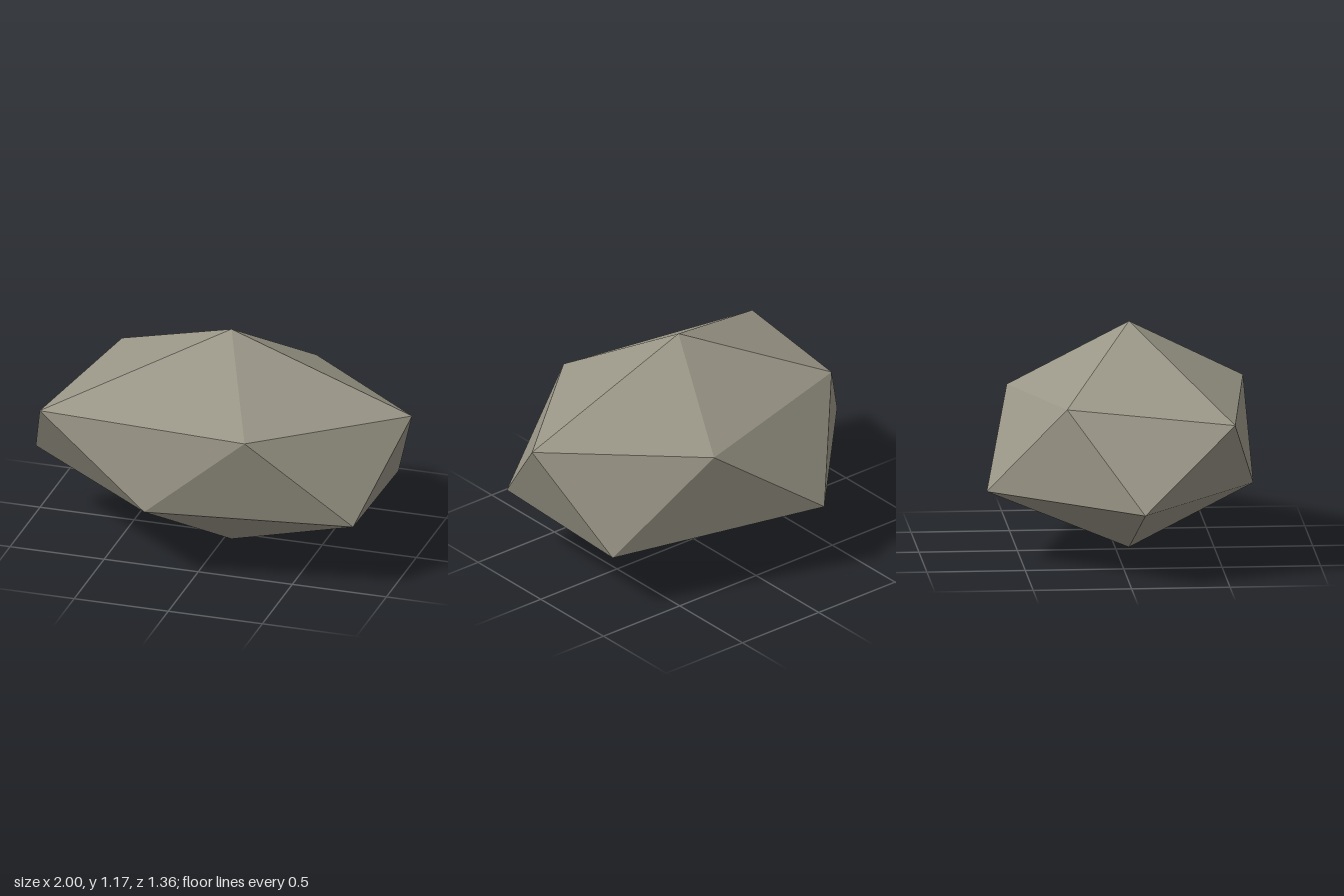
import * as THREE from 'three';

export function createModel() {
  const group = new THREE.Group();
  group.name = 'boulder';

  const stone = new THREE.MeshStandardMaterial({ color: 0x9a9687, flatShading: true });
  stone.name = 'warm grey stone';

  // Two staggered rings of five corners between a peak and a foot
  const peak = [0.04, 1.17, 0.07];
  const foot = [0.04, 0, 0.07];
  const upper = [[1, 0.82, 0.07], [0.3, 0.83, 0.67], [-0.83, 0.8, 0.54], [-0.66, 0.86, -0.3], [0.3, 0.8, -0.53]];
  const lower = [[0.82, 0.36, 0.49], [-0.23, 0.38, 0.68], [-1, 0.375, 0.07], [-0.3, 0.37, -0.68], [0.8, 0.31, -0.33]];

  const positions = [];
  const face = (a, b, c) => positions.push(...a, ...b, ...c);
  for (let i = 0; i < 5; i++) {
    const j = (i + 1) % 5;
    face(peak, upper[j], upper[i]);      // cap
    face(upper[i], upper[j], lower[i]);  // side, pointing down
    face(lower[i], upper[j], lower[j]);  // side, pointing up
    face(lower[i], lower[j], foot);      // underside
  }

  const geometry = new THREE.BufferGeometry();
  geometry.setAttribute('position', new THREE.Float32BufferAttribute(positions, 3));
  geometry.computeVertexNormals();

  const rock = new THREE.Mesh(geometry, stone);
  rock.name = 'rock';
  group.add(rock);
  return group;
}
